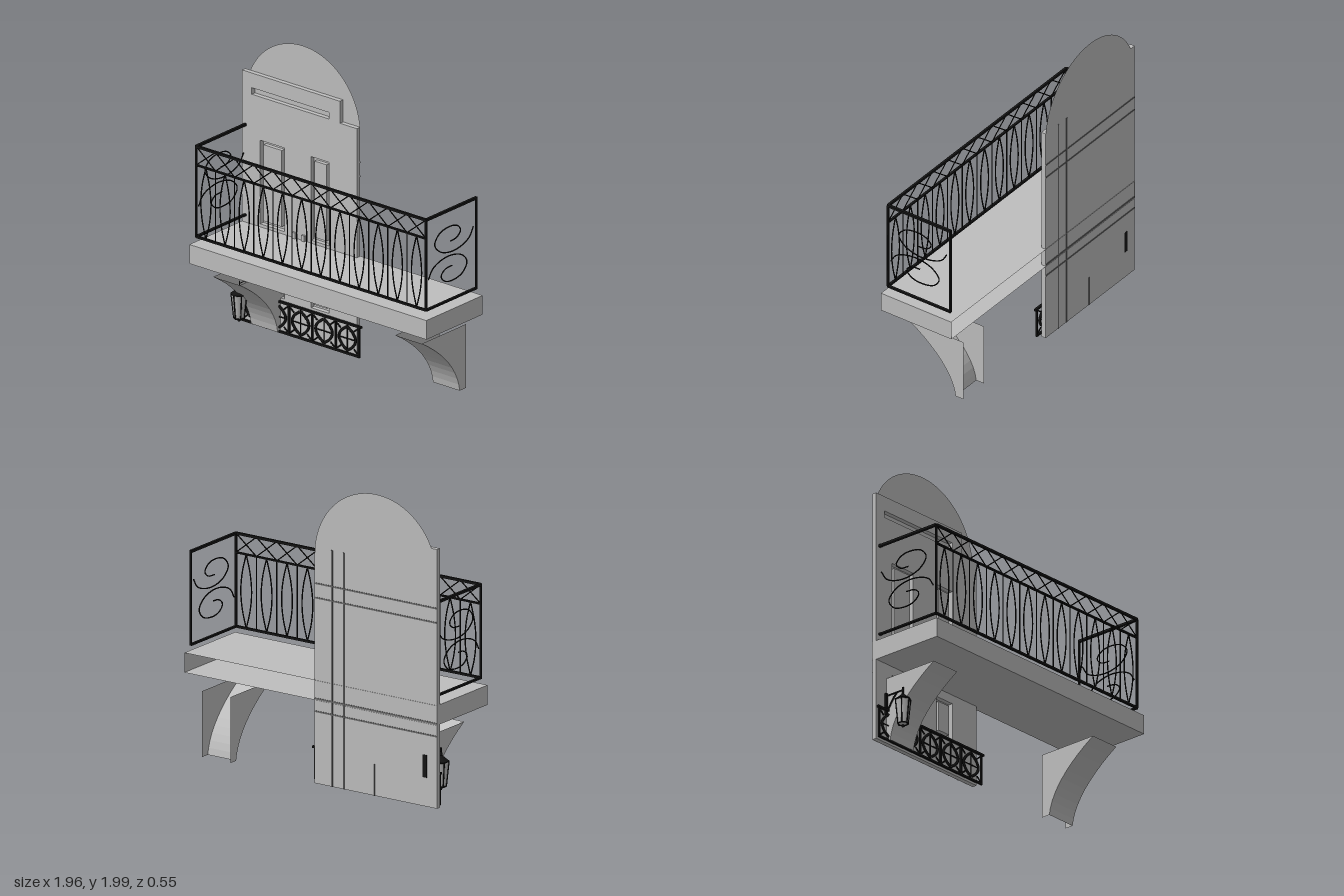
import * as THREE from 'three';

const stone = new THREE.MeshStandardMaterial({ color: 0xbebebe, side: THREE.DoubleSide });
stone.name = 'pale grey stone';
const iron = new THREE.MeshStandardMaterial({ color: 0x141414 });
iron.name = 'black iron';
const groove = new THREE.MeshStandardMaterial({ color: 0x686868 });
groove.name = 'dark grey groove';

const V = (x, y, z) => new THREE.Vector3(x, y, z);

function add(parent, name, geo, mat, x = 0, y = 0, z = 0) {
  const m = new THREE.Mesh(geo, mat);
  m.name = name;
  m.position.set(x, y, z);
  parent.add(m);
  return m;
}

function box(parent, name, x0, x1, y0, y1, z0, z1, mat) {
  return add(parent, name, new THREE.BoxGeometry(x1 - x0, y1 - y0, z1 - z0), mat,
    (x0 + x1) / 2, (y0 + y1) / 2, (z0 + z1) / 2);
}

// Straight iron bar between two points
function bar(parent, name, a, b, r = 0.004) {
  const m = add(parent, name, new THREE.CylinderGeometry(r, r, a.distanceTo(b), 6), iron);
  m.position.copy(a).add(b).multiplyScalar(0.5);
  m.quaternion.setFromUnitVectors(V(0, 1, 0), b.clone().sub(a).normalize());
  return m;
}

// Bent iron rod through points
function rod(parent, name, pts, r = 0.004, segs = 24) {
  const curve = new THREE.CatmullRomCurve3(pts);
  return add(parent, name, new THREE.TubeGeometry(curve, segs, r, 5), iron);
}

function polygon(points) {
  return new THREE.Shape(points.map(p => new THREE.Vector2(p[0], p[1])));
}
const rect = (x0, x1, y0, y1) => polygon([[x0, y0], [x1, y0], [x1, y1], [x0, y1]]);

function buildDoor() {
  const g = new THREE.Group();
  g.name = 'door';
  // Thin arched backing
  const arch = new THREE.Shape();
  arch.moveTo(-0.98, 0.01);
  arch.lineTo(-0.03, 0.01);
  arch.lineTo(-0.03, 1.525);
  arch.absarc(-0.505, 1.525, 0.475, 0, Math.PI, false);
  arch.lineTo(-0.98, 0.01);
  add(g, 'archedBacking', new THREE.ShapeGeometry(arch, 24), stone, 0, 0, -0.272);

  // Stepped door face with recessed panels
  const face = polygon([[-0.98, 0.01], [-0.03, 0.01], [-0.03, 1.57], [-0.17, 1.57], [-0.17, 1.72], [-0.98, 1.72]]);
  face.holes.push(rect(-0.9, -0.26, 1.575, 1.62));
  const panels = [];
  for (const [x0, x1] of [[-0.83, -0.63], [-0.41, -0.26]])
    for (const [y0, y1] of [[0.25, 0.5], [0.71, 1.28]]) panels.push([x0, x1, y0, y1]);
  panels.forEach(p => face.holes.push(rect(...p)));
  add(g, 'doorFace', new THREE.ExtrudeGeometry(face, { depth: 0.032, bevelEnabled: false }), stone, 0, 0, -0.271);
  for (const [x0, x1, y0, y1] of panels)
    box(g, 'doorPanel', x0 + 0.025, x1 - 0.025, y0 + 0.025, y1 - 0.025, -0.27, -0.243, stone);
  for (const x of [-0.543, -0.467]) box(g, 'doorHandle', x - 0.012, x + 0.012, 0.51, 0.73, -0.24, -0.225, stone);

  // Seams on the back of the door
  for (const x of [-0.165, -0.255]) box(g, 'backSeam', x - 0.005, x + 0.005, 0.01, 1.57, -0.275, -0.272, groove);
  box(g, 'backSeam', -0.498, -0.49, 0.01, 0.22, -0.275, -0.272, groove);
  for (const y of [1.33, 1.235, 0.57, 0.485]) box(g, 'backSeam', -0.98, -0.03, y - 0.005, y + 0.005, -0.275, -0.272, groove);
  return g;
}

// Balcony floor: a shell left open at the back
function buildFloor() {
  const g = new THREE.Group();
  g.name = 'balconyFloor';
  const W = 1.96, H = 0.13, D = 0.55, y = 0.625;
  for (const s of [-1, 1]) {
    add(g, s > 0 ? 'floorTop' : 'floorUnderside', new THREE.PlaneGeometry(W, D), stone, 0, y + s * H / 2, 0)
      .rotation.x = -s * Math.PI / 2;
    add(g, 'floorEnd', new THREE.PlaneGeometry(D, H), stone, s * W / 2, y, 0).rotation.y = s * Math.PI / 2;
  }
  add(g, 'floorFront', new THREE.PlaneGeometry(W, H), stone, 0, y, D / 2);
  return g;
}

// Hollow bracket: two cheeks and a concave faceted front
function buildBracket(x) {
  const g = new THREE.Group();
  g.name = 'bracket';
  g.position.x = x;
  const w = 0.22;
  const curve = new THREE.QuadraticBezierCurve(
    new THREE.Vector2(0.16, 0.46), new THREE.Vector2(-0.18, 0.25), new THREE.Vector2(-0.21, 0.025)).getPoints(10);
  const cheek = new THREE.ShapeGeometry(new THREE.Shape([new THREE.Vector2(-0.27, 0.025), new THREE.Vector2(-0.27, 0.46), ...curve]));
  for (const s of [-1, 1]) add(g, 'bracketCheek', cheek, stone, s * w / 2).rotation.y = -Math.PI / 2;
  const pos = [];
  for (let i = 0; i < curve.length - 1; i++) {
    const a = curve[i], b = curve[i + 1], h = w / 2;
    pos.push(-h, a.y, a.x, -h, b.y, b.x, h, b.y, b.x, -h, a.y, a.x, h, b.y, b.x, h, a.y, a.x);
  }
  const strip = new THREE.BufferGeometry();
  strip.setAttribute('position', new THREE.Float32BufferAttribute(pos, 3));
  strip.computeVertexNormals();
  add(g, 'bracketCurve', strip, stone);
  return g;
}

function buildRailing() {
  const g = new THREE.Group();
  g.name = 'railing';
  const X = 0.95, Z = 0.242, n = 12, step = 2 * X / n;
  const low = 0.742, mid = 1.23, top = 1.357;
  for (const [y, t] of [[low, 0.007], [mid, 0.005], [top, 0.008]])
    box(g, 'frontRail', -X, X, y - t, y + t, Z - 0.008, Z + 0.008, iron);
  for (let i = 0; i <= n; i++) {
    const x = -X + i * step;
    bar(g, 'upright', V(x, low, Z), V(x, mid, Z), i % n ? 0.004 : 0.007);
    if (i === n) break;
    const c = x + step / 2;
    for (const s of [-1, 1]) {
      // Lens-shaped balusters and crossed frieze
      rod(g, 'curvedBaluster', [V(c, low, Z), V(c + s * 0.03, 0.86, Z), V(c + s * 0.042, 0.985, Z),
        V(c + s * 0.03, 1.11, Z), V(c, mid, Z)], 0.0045, 14);
      bar(g, 'friezeCross', V(c - step / 2, s > 0 ? mid : top, Z), V(c + step / 2, s > 0 ? top : mid, Z));
    }
  }
  // Side frames with paired scrolls
  const scroll = [[-0.22, 1.17], [-0.18, 1.11], [-0.1, 1.075], [0.01, 1.068], [0.11, 1.1], [0.158, 1.16], [0.115, 1.22],
    [0.02, 1.242], [-0.06, 1.227], [-0.096, 1.185], [-0.06, 1.148], [0.01, 1.14]];
  for (const s of [-1, 1]) {
    const x = s * X;
    for (const [y, t] of [[low, 0.006], [top, 0.008]]) box(g, 'sideRail', x - 0.009, x + 0.009, y - t, y + t, -0.25, Z, iron);
    for (const z of [-0.246, Z]) box(g, 'cornerPost', x - 0.006, x + 0.006, low, top, z - 0.006, z + 0.006, iron);
    for (const k of [-1, 1])
      rod(g, 'scroll', scroll.map(([z, y]) => V(x, 1.055 + k * (y - 1.055), k * z)), 0.0045, 48);
  }
  return g;
}

// Low window grille with pointed rings
function buildGrille() {
  const g = new THREE.Group();
  g.name = 'lowerGrille';
  const z = -0.225, step = 0.193;
  box(g, 'grilleRail', -0.98, 0.02, 0.224, 0.238, z - 0.008, z + 0.008, iron);
  box(g, 'grilleRail', -0.97, 0.0, 0.02, 0.034, z - 0.006, z + 0.006, iron);
  for (let i = 0; i <= 5; i++) {
    const x = -0.966 + i * step;
    box(g, 'grilleUpright', x - 0.006, x + 0.006, 0.02, 0.235, z - 0.006, z + 0.006, iron);
    if (i === 5) break;
    const c = x + step / 2;
    for (const s of [-1, 1]) {
      rod(g, 'pointedRing', [V(c, 0.21, z), V(c + s * 0.05, 0.17, z), V(c + s * 0.07, 0.127, z),
        V(c + s * 0.05, 0.084, z), V(c, 0.045, z)], 0.009, 16);
      for (const t of [-1, 1])
        bar(g, 'cornerLeaf', V(c + s * 0.055, 0.127 + t * 0.06, z), V(c + s * 0.085, 0.127 + t * 0.085, z), 0.005);
    }
    bar(g, 'ringCross', V(c - 0.07, 0.127, z), V(c + 0.07, 0.127, z));
    bar(g, 'ringCross', V(c, 0.03, z), V(c, 0.225, z));
  }
  return g;
}

// Hexagonal wall lantern
function buildLantern() {
  const g = new THREE.Group();
  g.name = 'lantern';
  g.position.set(-0.885, 0, -0.097);
  add(g, 'lanternGlass', new THREE.CylinderGeometry(0.049, 0.033, 0.16, 6).toNonIndexed(), stone, 0, 0.182);
  for (let i = 0; i < 6; i++) {
    const a = i * Math.PI / 3, b = a + Math.PI / 3;
    const p = (t, r, y) => V(Math.sin(t) * r, y, Math.cos(t) * r);
    bar(g, 'lanternEdge', p(a, 0.034, 0.1), p(a, 0.051, 0.265), 0.004);
    bar(g, 'lanternHoop', p(a, 0.051, 0.265), p(b, 0.051, 0.265), 0.005);
    bar(g, 'lanternHoop', p(a, 0.034, 0.1), p(b, 0.034, 0.1), 0.005);
  }
  add(g, 'lanternRoof', new THREE.ConeGeometry(0.055, 0.045, 6), iron, 0, 0.288);
  add(g, 'lanternFinial', new THREE.CylinderGeometry(0.006, 0.009, 0.055, 6), iron, 0, 0.326);
  add(g, 'lanternDrop', new THREE.SphereGeometry(0.01, 8, 6), iron, 0, 0.084);
  bar(g, 'lanternArm', V(0, 0.335, 0), V(0, 0.335, -0.14), 0.006);
  rod(g, 'armScroll', [V(0, 0.335, -0.05), V(0, 0.29, -0.09), V(0, 0.22, -0.135)], 0.006, 12);
  box(g, 'wallPlate', -0.015, 0.015, 0.2, 0.35, -0.177, -0.13, iron);
  return g;
}

export function createModel() {
  const model = new THREE.Group();
  model.name = 'balcony';
  model.add(buildDoor(), buildFloor(), buildBracket(-0.77), buildBracket(0.735),
    buildRailing(), buildGrille(), buildLantern());
  return model;
}
